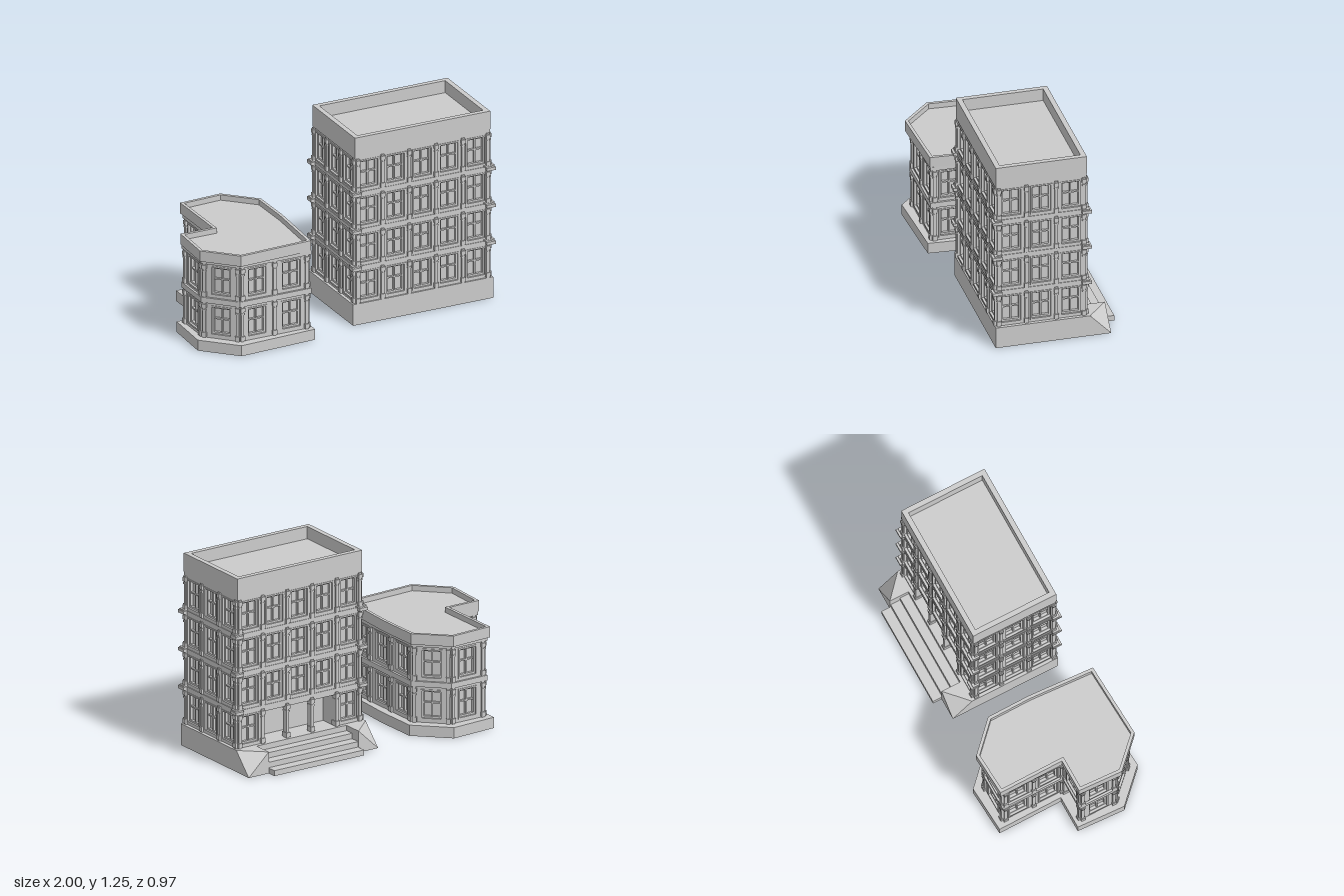
import * as THREE from 'three';
import { ConvexGeometry } from 'three/addons/geometries/ConvexGeometry.js';

const MAT = new THREE.MeshStandardMaterial({ color: 0xcccccc, flatShading: true });
const INSET = 0.03; // depth of the window reveals

function add(parent, name, geo, x = 0, y = 0, z = 0) {
  const m = new THREE.Mesh(geo, MAT);
  m.name = name;
  m.position.set(x, y, z);
  parent.add(m);
  return m;
}

function group(parent, name) {
  const g = new THREE.Group();
  g.name = name;
  parent.add(g);
  return g;
}

// Box given by its centre in x, its bottom in y, and a z range
function block(parent, name, x, y, w, h, z0, z1) {
  return add(parent, name, new THREE.BoxGeometry(w, h, z1 - z0), x, y + h / 2, (z0 + z1) / 2);
}

// Upright prism over an [x, z] plan, optionally with a hole
function prism(parent, name, plan, y0, y1, hole) {
  const pts = (p) => p.map(([x, z]) => new THREE.Vector2(x, -z));
  const s = new THREE.Shape(pts(plan));
  if (hole) s.holes.push(new THREE.Path(pts(hole)));
  const g = new THREE.ExtrudeGeometry(s, { depth: y1 - y0, bevelEnabled: false });
  return add(parent, name, g.rotateX(-Math.PI / 2), 0, y0, 0);
}

// Move all edges of a plan outward by d
function offset(plan, d) {
  const n = plan.length;
  const normal = (a, b) => new THREE.Vector2(a[1] - b[1], b[0] - a[0]).normalize();
  return plan.map((p, i) => {
    const n1 = normal(plan[(i + n - 1) % n], p), n2 = normal(p, plan[(i + 1) % n]);
    const k = d / (1 + n1.dot(n2));
    return [p[0] + (n1.x + n2.x) * k, p[1] + (n1.y + n2.y) * k];
  });
}

// Cut a recess into edge i of a plan, from fraction a to b
function notch(plan, i, a, b, depth) {
  const p = plan[i], q = plan[(i + 1) % plan.length];
  const dx = q[0] - p[0], dz = q[1] - p[1], l = Math.hypot(dx, dz);
  const at = (t, d) => [p[0] + dx * t + (dz / l) * d, p[1] + dz * t - (dx / l) * d];
  const out = plan.slice();
  out.splice(i + 1, 0, at(a, 0), at(a, depth), at(b, depth), at(b, 0));
  return out;
}

// Flat rectangular ring: outer w x h, opening ow x oh starting at height oy
function ring(parent, name, x, y, w, h, ow, oh, oy, z0, z1) {
  const rect = (C, rw, y0, rh) => new C([[-1, 0], [1, 0], [1, 1], [-1, 1]]
    .map(([a, b]) => new THREE.Vector2(a * rw / 2, y0 + b * rh)));
  const s = rect(THREE.Shape, w, 0, h);
  s.holes.push(rect(THREE.Path, ow, oy, oh));
  add(parent, name, new THREE.ExtrudeGeometry(s, { depth: z1 - z0, bevelEnabled: false }), x, y, z0);
}

// One window bay: wall panel, casing, sash and glazing bars
function windowBay(parent, x, w, h) {
  const g = group(parent, 'windowBay');
  const ow = 0.125, oh = 0.182, oy = (h - oh) / 2;
  ring(g, 'wallPanel', x, 0, w, h, ow, oh, oy, -INSET, 0);
  ring(g, 'casing', x, oy - 0.008, ow + 0.016, oh + 0.016, ow - 0.004, oh - 0.004, 0.01, -0.005, 0.004);
  ring(g, 'sash', x, oy, ow, oh, ow - 0.024, oh - 0.024, 0.012, -INSET, -0.012);
  block(g, 'verticalBar', x, oy, 0.009, oh, -INSET, -0.015);
  block(g, 'horizontalBar', x, oy + oh * 0.53, ow, 0.009, -INSET, -0.015);
}

// Pilaster with a foot and a stepped head
function pilaster(parent, x, h) {
  const g = group(parent, 'pilaster');
  block(g, 'shaft', x, 0, 0.02, h, -INSET, 0.01);
  block(g, 'foot', x, 0.006, 0.029, 0.03, -INSET, 0.016);
  block(g, 'head', x, h - 0.035, 0.029, 0.025, -INSET, 0.016);
  block(g, 'collar', x, h - 0.055, 0.025, 0.01, -INSET, 0.013);
}

// One storey along every edge of a plan; skip(edge, bay) leaves a bay open
function storey(parent, plan, bays, y, h, skip) {
  const s = group(parent, 'storey');
  plan.forEach((p, i) => {
    const q = plan[(i + 1) % plan.length];
    const dx = q[0] - p[0], dz = q[1] - p[1], len = Math.hypot(dx, dz), n = bays[i];
    const wall = group(s, 'wall');
    wall.position.set((p[0] + q[0]) / 2, y, (p[1] + q[1]) / 2);
    wall.rotation.y = Math.atan2(-dz, dx);
    const w = len / n;
    for (let k = 0; k < n; k++) {
      const x = -len / 2 + (k + 0.5) * w;
      if (skip(i, k)) block(wall, 'lintel', x, h - 0.02, w, 0.02, -INSET, 0);
      else windowBay(wall, x, w, h);
    }
    for (let k = 0; k <= n; k++) {
      const inward = k === 0 ? 0.014 : k === n ? -0.014 : 0;
      pilaster(wall, -len / 2 + k * w + inward, h);
    }
  });
}

function tower(root) {
  const g = group(root, 'tower');
  const plan = [[0.045, 0.36], [0.968, 0.36], [0.968, -0.21], [0.045, -0.21]];
  const core = offset(plan, -INSET);
  const base = [[0.025, 0.37], [0.99, 0.37], [0.99, -0.235], [0.025, -0.235]];
  const y0 = 0.14, step = 0.2475, h = 0.225;
  prism(g, 'base', base, 0, y0);
  prism(g, 'groundCore', notch(core, 2, 0.19, 0.81, 0.1), y0, y0 + step);
  prism(g, 'upperCore', core, y0 + step, 1.14);
  for (let f = 0; f < 4; f++) {
    const y = y0 + f * step;
    storey(g, plan, [5, 3, 5, 3], y, h, (i, k) => f === 0 && i === 2 && k > 0 && k < 4);
    prism(g, 'belt', offset(plan, 0.004), y + h, y + step);
    if (f === 3) continue;
    // Corner brackets along each belt
    for (const [cx, sx] of [[0.045, -1], [0.968, 1]]) for (const [cz, sz] of [[0.36, 1], [-0.21, -1]]) {
      add(g, 'cornerBracket', new THREE.BoxGeometry(0.06, 0.02, 0.06), cx, y + h + 0.012, cz);
      add(g, 'bracketTop', new THREE.BoxGeometry(0.068, 0.008, 0.045), cx - sx * 0.006, y + step + 0.006, cz - sz * 0.006);
    }
  }
  // Parapet and roof
  const top = [[0.04, 0.365], [0.972, 0.365], [0.972, -0.215], [0.04, -0.215]];
  prism(g, 'parapet', top, 1.13, 1.25, offset(top, -0.033));
  prism(g, 'roof', offset(top, -0.02), 1.131, 1.17);

  // Entrance stairs
  [-0.295, -0.36, -0.425].forEach((z, i) =>
    block(g, 'step', 0.506, 0, 0.67, 0.105 - i * 0.035, z, -0.23));
  // Wedge cheeks beside the stairs, with one sloped outer corner
  for (const [a, o] of [[0.841, 0.99], [0.171, 0.025]]) {
    const pts = [[a, 0, -0.23], [o, 0, -0.23], [a, 0, -0.365], [o, 0, -0.365],
      [a, y0, -0.23], [o, y0, -0.23], [a, y0, -0.365]].map((p) => new THREE.Vector3(...p));
    add(g, 'stairCheek', new ConvexGeometry(pts));
  }
}

function annex(root) {
  const g = group(root, 'annex');
  const plan = [[-0.78, 0.42], [-0.31, 0.42], [-0.31, -0.25], [-0.48, -0.42],
    [-0.73, -0.42], [-0.73, 0], [-0.95, 0], [-0.95, 0.245]];
  const bays = [2, 3, 1, 1, 2, 1, 1, 1];
  const base = [[-0.8, 0.48], [-0.282, 0.455], [-0.256, 0], [-0.26, -0.29], [-0.46, -0.485],
    [-0.77, -0.467], [-0.765, -0.037], [-0.985, -0.037], [-1, 0.28]];
  const core = offset(plan, -INSET);
  prism(g, 'base', base, 0, 0.07);
  prism(g, 'groundCore', notch(core, 5, 0.28, 0.84, 0.05), 0.07, 0.31);
  prism(g, 'upperCore', core, 0.31, 0.6);
  storey(g, plan, bays, 0.07, 0.235, (i) => i === 5); // open doorway
  prism(g, 'belt', offset(plan, 0.014), 0.305, 0.34);
  storey(g, plan, bays, 0.34, 0.225, () => false);
  prism(g, 'cornice', offset(plan, 0.014), 0.565, 0.591);
  // Parapet and roof
  const top = offset(base, -0.018);
  prism(g, 'parapet', top, 0.59, 0.66, offset(top, -0.02));
  prism(g, 'roof', offset(top, -0.01), 0.591, 0.625);
}

export function createModel() {
  const root = new THREE.Group();
  root.name = 'buildings';
  tower(root);
  annex(root);
  return root;
}
